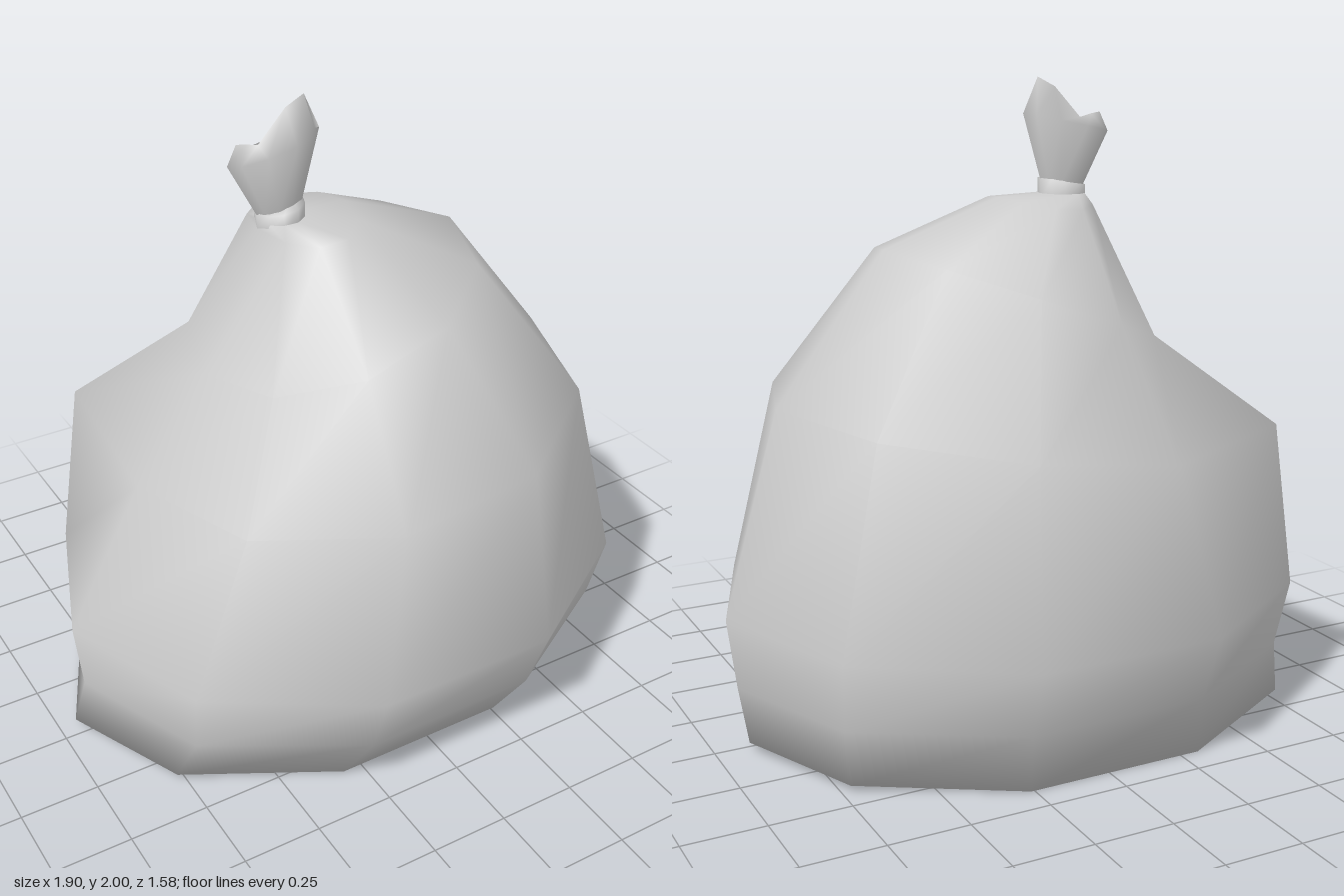
import * as THREE from 'three';

const SIDES = 10;
const material = new THREE.MeshStandardMaterial({ color: 0xcccccc, side: THREE.DoubleSide });

// Ten-sided elliptical ring; tilt raises +x and lowers -x, lift raises both x ends
function ring(y, cx, rx, rz, { tilt = 0, lift = 0, cz = 0 } = {}) {
  return Array.from({ length: SIDES }, (_, k) => {
    const a = (k / SIDES) * Math.PI * 2;
    const c = Math.cos(a);
    return [cx + rx * c, y + tilt * c + lift * c * c, cz + rz * Math.sin(a)];
  });
}

// Smooth skin over rings listed from bottom to top, with an optional floor point
function loft(name, rings, floor) {
  const points = rings.flat();
  const index = [];
  for (let i = 0; i < rings.length - 1; i++) {
    for (let k = 0; k < SIDES; k++) {
      const a = i * SIDES + k;
      const b = i * SIDES + ((k + 1) % SIDES);
      index.push(a, a + SIDES, b, b, a + SIDES, b + SIDES);
    }
  }
  if (floor) {
    points.push(floor);
    for (let k = 0; k < SIDES; k++) index.push(points.length - 1, k, (k + 1) % SIDES);
  }
  const geometry = new THREE.BufferGeometry();
  geometry.setAttribute('position', new THREE.Float32BufferAttribute(points.flat(), 3));
  geometry.setIndex(index);
  geometry.computeVertexNormals();
  const mesh = new THREE.Mesh(geometry, material);
  mesh.name = name;
  return mesh;
}

export function createModel() {
  const group = new THREE.Group();
  group.name = 'tiedSack';

  // Sagging body leaning towards the neck
  const waist = ring(0.96, 0.04, 0.73, 0.745, { tilt: 0.09 });
  waist[6] = [-0.68, 0.95, -0.49]; // bulge at the back
  group.add(loft('sackBody', [
    ring(0, -0.025, 0.925, 0.65, { lift: 0.033, cz: -0.035 }),
    ring(0.2, 0, 0.92, 0.745),
    ring(0.42, 0.003, 0.945, 0.83),
    waist,
    ring(1.345, -0.015, 0.435, 0.463, { tilt: 0.155 }),
    ring(1.61, -0.11, 0.15, 0.2, { tilt: 0.01, lift: 0.02 }),
    ring(1.645, -0.185, 0.072, 0.072),
  ], [-0.2, 0.005, 0]));

  // Tie around the neck
  const tieTop = { tilt: 0.012 };
  group.add(loft('neckTie', [
    ring(1.62, -0.185, 0.075, 0.075),
    ring(1.68, -0.185, 0.075, 0.075, tieTop),
    ring(1.68, -0.185, 0.04, 0.03, tieTop),
  ]));

  // Gathered tuft, flaring and then pinched into a ragged crest
  const crest = [[-0.07, 1.89], [-0.1, 2.0], [-0.16, 1.97], [-0.25, 1.875], [-0.29, 1.885], [-0.32, 1.89]];
  const crestRing = Array.from({ length: SIDES }, (_, k) => [...crest[Math.min(k, SIDES - k)], 0]);
  group.add(loft('tuft', [
    ring(1.67, -0.185, 0.073, 0.042, tieTop),
    ring(1.86, -0.2, 0.15, 0.06, { tilt: 0.03 }),
    crestRing,
  ]));

  return group;
}
